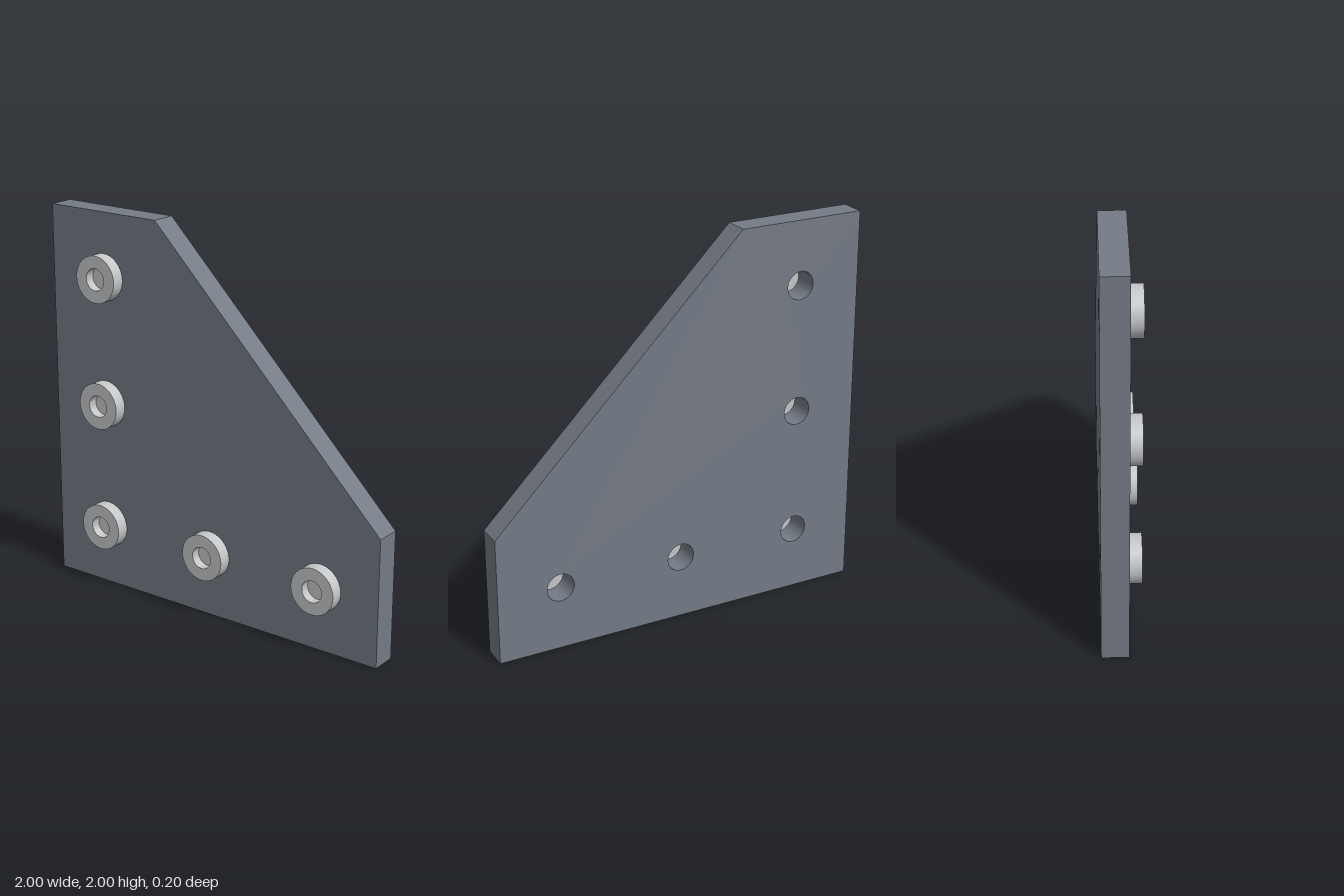
import * as THREE from 'three';
import { toCreasedNormals } from 'three/addons/utils/BufferGeometryUtils.js';

const THIRD = 1 / 3;
const BACK = -0.1, FACE = 0.033, HEAD_TOP = 0.1;
const HOLE_RADIUS = 0.073;
const HEAD_RADIUS = 0.122, SOCKET_RADIUS = 0.057, SOCKET_DEPTH = 0.05;

// Bolt centres along the upright and the foot of the bracket
const boltCentres = [
  [-2 * THIRD, 5 * THIRD],
  [-2 * THIRD, 1],
  [-2 * THIRD, THIRD],
  [0, THIRD],
  [2 * THIRD, THIRD],
];

// Flat plate with one cut corner and a hole behind every bolt
function plateGeometry() {
  const outline = [[-1, 0], [1, 0], [1, 2 * THIRD], [-THIRD, 2], [-1, 2]];
  const shape = new THREE.Shape(outline.map(([x, y]) => new THREE.Vector2(x, y)));
  for (const [x, y] of boltCentres) {
    shape.holes.push(new THREE.Path().absarc(x, y, HOLE_RADIUS, 0, Math.PI * 2, true));
  }
  const geometry = new THREE.ExtrudeGeometry(shape, {
    depth: FACE - BACK, bevelEnabled: false, curveSegments: 24,
  });
  geometry.translate(0, 0, BACK);
  return toCreasedNormals(geometry, 0.6);
}

// Low round head with a blind socket in its front
function boltHeadGeometry() {
  const height = HEAD_TOP - FACE;
  const profile = [
    [0, 0], [HEAD_RADIUS, 0], [HEAD_RADIUS, height],
    [SOCKET_RADIUS, height], [SOCKET_RADIUS, height - SOCKET_DEPTH], [0, height - SOCKET_DEPTH],
  ].map(([r, h]) => new THREE.Vector2(r, h));
  const geometry = new THREE.LatheGeometry(profile, 48);
  geometry.rotateX(Math.PI / 2);
  return toCreasedNormals(geometry, 0.6);
}

export function createModel() {
  const plateGrey = new THREE.MeshStandardMaterial({ color: 0x747b85 });
  plateGrey.name = 'plate grey';
  const boltSilver = new THREE.MeshStandardMaterial({ color: 0xc4c6c8 });
  boltSilver.name = 'bolt silver';

  const model = new THREE.Group();
  model.name = 'cornerBracket';

  const plate = new THREE.Mesh(plateGeometry(), plateGrey);
  plate.name = 'plate';
  model.add(plate);

  const headGeometry = boltHeadGeometry();
  boltCentres.forEach(([x, y], i) => {
    const head = new THREE.Mesh(headGeometry, boltSilver);
    head.name = `boltHead${i + 1}`;
    head.position.set(x, y, FACE);
    model.add(head);
  });
  return model;
}
